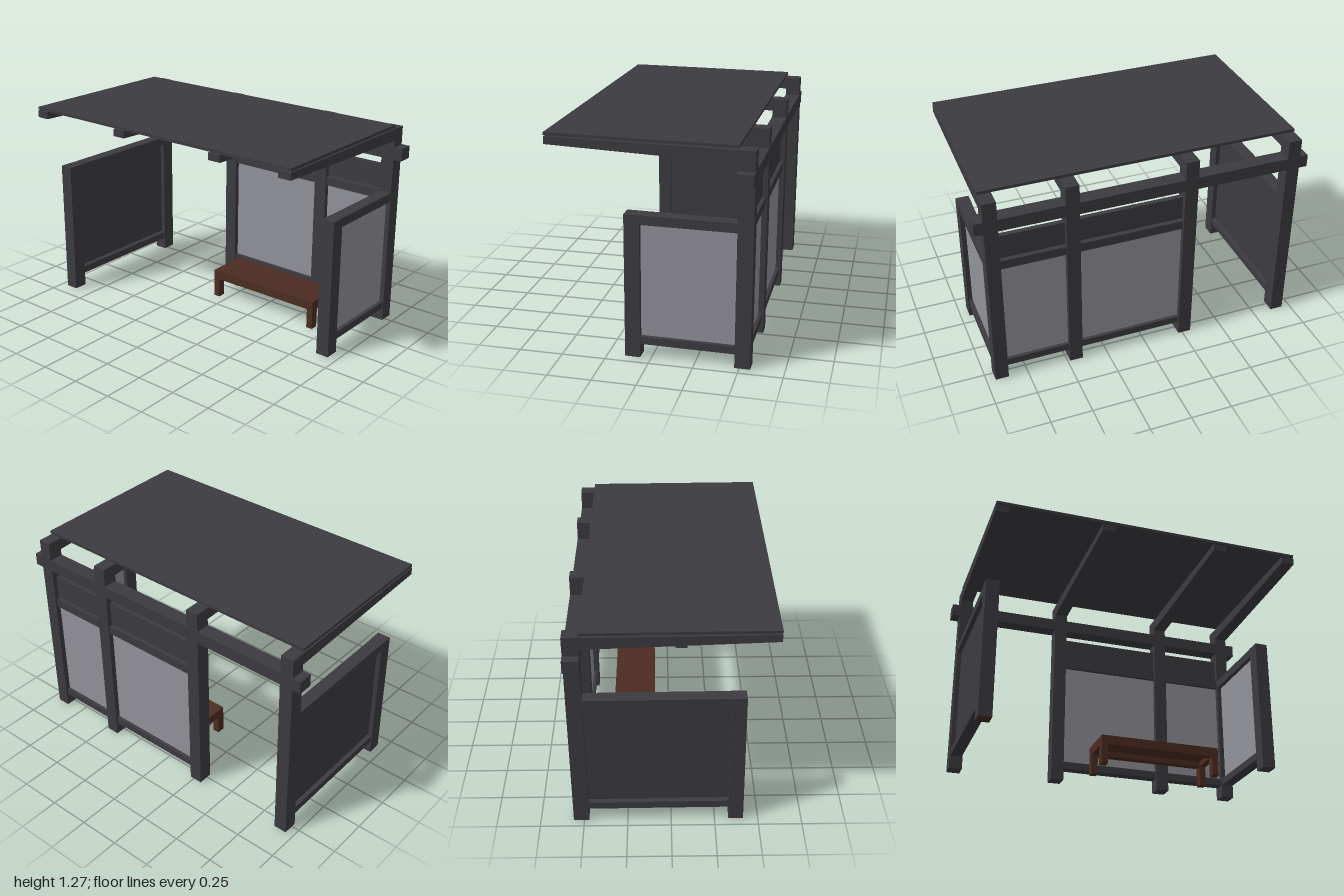
import * as THREE from 'three';

const frameMat = new THREE.MeshStandardMaterial({ color: 0x3c3b40 });
frameMat.name = 'dark grey metal';
const glassMat = new THREE.MeshStandardMaterial({ color: 0x92929a });
glassMat.name = 'grey glass';
const woodMat = new THREE.MeshStandardMaterial({ color: 0x4c2c21 });
woodMat.name = 'brown wood';

// Box given by its min and max on each axis
function box(parent, name, mat, [x0, x1], [y0, y1], [z0, z1]) {
  const mesh = new THREE.Mesh(new THREE.BoxGeometry(x1 - x0, y1 - y0, z1 - z0), mat);
  mesh.position.set((x0 + x1) / 2, (y0 + y1) / 2, (z0 + z1) / 2);
  mesh.name = name;
  parent.add(mesh);
  return mesh;
}

function group(parent, name) {
  const g = new THREE.Group();
  g.name = name;
  parent.add(g);
  return g;
}

const around = (c, size) => [c - size / 2, c + size / 2];

const POST = 0.08;
const BACK = [-0.561, -0.473];
const BACK_MID = -0.517;
const POST_X = [-0.91, -0.265, 0.445, 0.907];
const TOP_RAIL = [0.786, 0.84];
const LOW_RAIL = [0.08, 0.125];

// Back post and tapered roof arm in one outline, drawn in (z, y)
function postWithArm(parent, x) {
  const outline = new THREE.Shape([
    [BACK[0], 0], [BACK[1], 0], [BACK[1], 1.166],
    [0.583, 1.198], [0.583, 1.241], [BACK[0], 1.238],
  ].map(([z, y]) => new THREE.Vector2(-z, y)));
  const geo = new THREE.ExtrudeGeometry(outline, { depth: POST, bevelEnabled: false });
  geo.translate(0, 0, -POST / 2);
  geo.rotateY(Math.PI / 2);
  const mesh = new THREE.Mesh(geo, frameMat);
  mesh.position.x = x;
  mesh.name = 'postWithRoofArm';
  parent.add(mesh);
}

// Side wall: front post, two rails and an infill panel
function sideWall(parent, name, x, z0, z1, panelMat, panelBottom) {
  const g = group(parent, name);
  box(g, 'frontPost', frameMat, around(x, POST), [0, 0.84], [z0, z1]);
  box(g, 'topRail', frameMat, around(x, 0.076), TOP_RAIL, [BACK[1], z0]);
  box(g, 'bottomRail', frameMat, around(x, 0.07), LOW_RAIL, [BACK[1], z0]);
  box(g, 'panel', panelMat, around(x, 0.024), [panelBottom, TOP_RAIL[0]], [BACK[1], z0]);
  return g;
}

export function createModel() {
  const model = new THREE.Group();
  model.name = 'shelter';
  const body = group(model, 'shelterBody');

  // Posts, cross beam and roof
  POST_X.forEach((x) => postWithArm(body, x));
  box(body, 'crossBeam', frameMat, [-1, 1], [1.051, 1.126], [BACK[0] - 0.001, BACK[1] + 0.001]);
  box(body, 'roof', frameMat, [-0.947, 0.947], [1.247, 1.264], [-0.472, 0.584]);

  // Back wall bays
  for (let i = 1; i < 3; i++) {
    const span = [POST_X[i] + POST / 2, POST_X[i + 1] - POST / 2];
    const bay = group(body, 'backBay');
    box(bay, 'topRail', frameMat, span, TOP_RAIL, around(BACK_MID, 0.064));
    box(bay, 'bottomRail', frameMat, span, LOW_RAIL, around(BACK_MID, 0.064));
    box(bay, 'glass', glassMat, span, [LOW_RAIL[1], TOP_RAIL[0]], around(BACK_MID, 0.024));
    box(bay, 'upperPanel', frameMat, span, [0.85, 0.996], around(BACK_MID, 0.03));
  }

  // Side walls: the long solid one and the short glazed one
  const solid = sideWall(body, 'solidSideWall', POST_X[0], 0.33, 0.415, frameMat, 0.132);
  box(solid, 'footPlate', woodMat, around(POST_X[0], POST), [-0.003, 0], [0.33, 0.415]);
  sideWall(body, 'glazedSideWall', POST_X[3], 0.06, 0.147, glassMat, LOW_RAIL[1]);

  // Bench with a hollow underside
  const bench = group(body, 'bench');
  const [bx0, bx1, bz0, bz1] = [-0.093, 0.675, -0.347, -0.09];
  const legW = 0.04, legD = 0.05;
  box(bench, 'seat', woodMat, [bx0, bx1], [0.155, 0.18], [bz0, bz1]);
  for (const x of [bx0, bx1 - legW]) {
    box(bench, 'endApron', woodMat, [x, x + legW], [0.123, 0.155], [bz0 + legD, bz1 - legD]);
    for (const z of [bz0, bz1 - legD]) {
      box(bench, 'leg', woodMat, [x, x + legW], [0, 0.155], [z, z + legD]);
    }
  }
  for (const z of [bz0, bz1 - legD]) {
    box(bench, 'longApron', woodMat, [bx0 + legW, bx1 - legW], [0.123, 0.155], [z, z + legD]);
  }

  // Slight backward lean of the whole structure
  body.rotation.x = -0.007;
  body.position.y = 0.008;
  return model;
}
